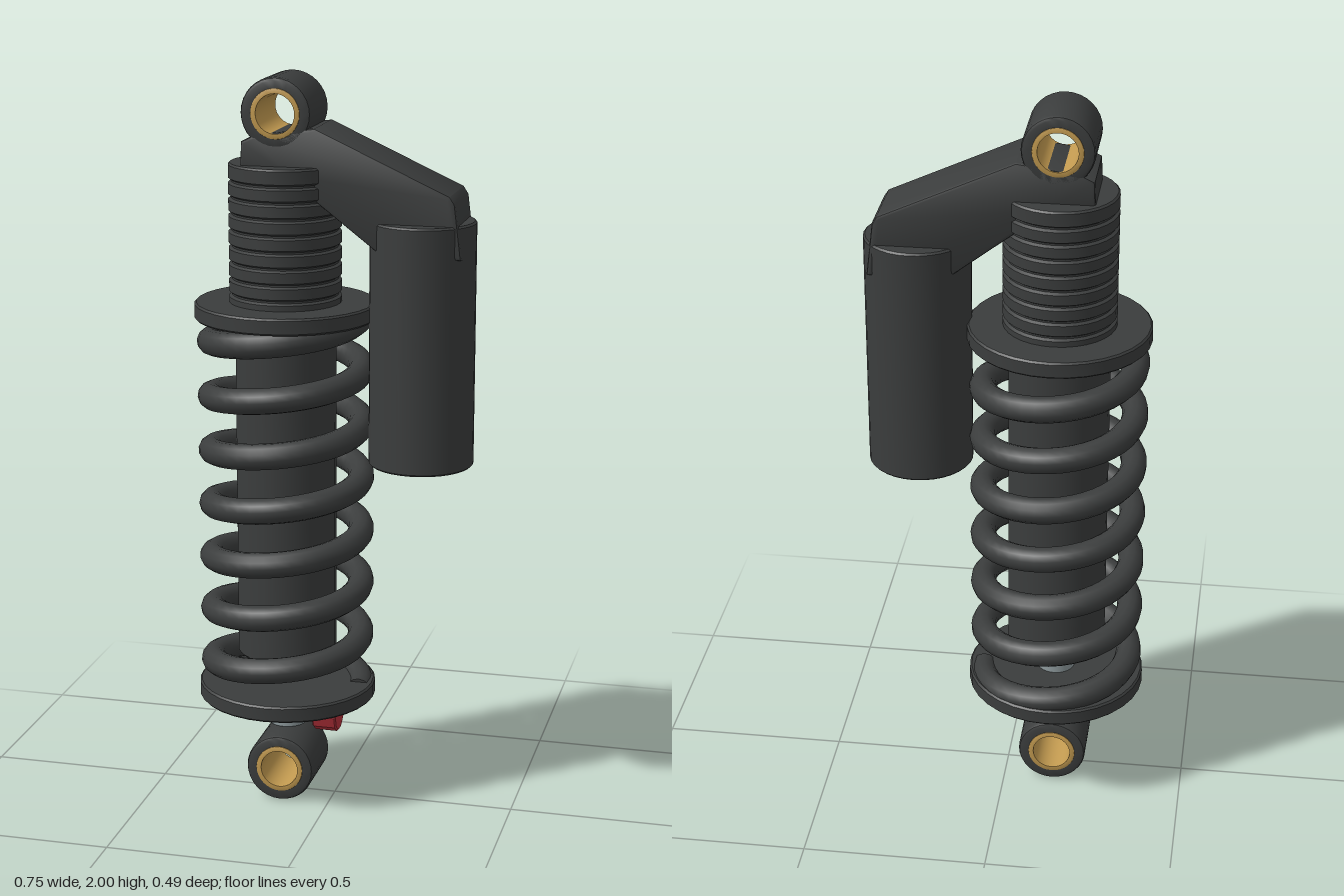
import * as THREE from 'three';
import { toCreasedNormals } from 'three/addons/utils/BufferGeometryUtils.js';

const AXIS_X = -0.135;
const material = (color) => new THREE.MeshStandardMaterial({ color });

// Surface of revolution from [radius, height] pairs, bottom to top
function lathe(points, segments = 32) {
  const geo = new THREE.LatheGeometry(points.map(([r, y]) => new THREE.Vector2(r, y)), segments);
  return toCreasedNormals(geo, 0.6);
}

// Solid cylinder with chamfered rims
function chamferedCylinder(r, y0, y1, c = 0.005, segments = 32) {
  return lathe([[0, y0], [r - c, y0], [r, y0 + c], [r, y1 - c], [r - c, y1], [0, y1]], segments);
}

// Closed ring centred on its own axis, turned to run along z
function ring(inner, outer, half, c) {
  return lathe([
    [inner, -half], [outer - c, -half], [outer - c * 0.3, -half + c * 0.3], [outer, -half + c],
    [outer, half - c], [outer - c * 0.3, half - c * 0.3], [outer - c, half], [inner, half], [inner, -half],
  ]).rotateX(Math.PI / 2);
}

// Coil climbing around the damper axis
class Helix extends THREE.Curve {
  constructor(radius, y0, y1, turns) {
    super();
    Object.assign(this, { radius, y0, y1, turns });
  }
  getPoint(t, target = new THREE.Vector3()) {
    const a = t * this.turns * Math.PI * 2;
    return target.set(
      Math.cos(a) * this.radius,
      this.y0 + (this.y1 - this.y0) * t,
      -Math.sin(a) * this.radius,
    );
  }
}

export function createModel() {
  const model = new THREE.Group();
  model.name = 'shockAbsorber';
  const black = material(0x3b3d3d);
  const steel = material(0x8f9b9e);
  const brass = material(0xc29a50);
  const red = material(0xb8323c);

  function add(name, geo, mat, x = AXIS_X, y = 0, z = 0, parent = model) {
    const mesh = new THREE.Mesh(geo, mat);
    mesh.name = name;
    mesh.position.set(x, y, z);
    parent.add(mesh);
    return mesh;
  }

  // Mounting eyes with brass bushings
  for (const [name, y] of [['upper', 1.906], ['lower', 0.094]]) {
    const eye = new THREE.Group();
    eye.name = name + 'Eye';
    add(name + 'EyeHousing', ring(0.064, 0.094, 0.095, 0.01), black, AXIS_X, y, 0, eye);
    add(name + 'Bushing', ring(0.052, 0.066, 0.097, 0.003), brass, AXIS_X, y, 0, eye);
    model.add(eye);
  }

  // Damper rod, body and spring plates
  add('rod', chamferedCylinder(0.052, 0.2, 0.6, 0.003), steel);
  add('damperBody', chamferedCylinder(0.135, 0.415, 1.42), black);
  add('lowerSpringPlate', chamferedCylinder(0.243, 0.29, 0.335), black);
  add('upperSpringPlate', chamferedCylinder(0.243, 1.355, 1.4), black);

  // Threaded collar with shallow grooves
  const thread = [[0, 1.39], [0.15, 1.39]];
  for (let i = 0; i < 8; i++) {
    const y = 1.415 + i * 0.043;
    thread.push([0.15, y], [0.142, y + 0.005], [0.142, y + 0.01], [0.15, y + 0.015]);
  }
  thread.push([0.15, 1.765], [0.145, 1.77], [0, 1.77]);
  add('threadedCollar', lathe(thread), black);

  // Coil spring with closed ends
  const helix = new Helix(0.203, 0.31, 1.36, 7);
  const spring = new THREE.Group();
  spring.name = 'spring';
  add('coil', new THREE.TubeGeometry(helix, 280, 0.035, 12), black, AXIS_X, 0, 0, spring);
  for (const t of [0, 1]) {
    const p = helix.getPoint(t);
    const outward = helix.getTangent(t).multiplyScalar(t ? 1 : -1);
    const cap = add('coilEnd', new THREE.CircleGeometry(0.035, 12), black, AXIS_X + p.x, p.y, p.z, spring);
    cap.quaternion.setFromUnitVectors(new THREE.Vector3(0, 0, 1), outward);
  }
  model.add(spring);

  // Bridge from the upper eye to the reservoir
  const outline = [
    [-0.232, 1.75], [-0.228, 1.832], [-0.19, 1.85], [-0.03, 1.872], [0.325, 1.71],
    [0.338, 1.69], [0.356, 1.545], [0.335, 1.545], [0.325, 1.56], [0.13, 1.56], [-0.02, 1.675], [-0.1, 1.74],
  ].map(([x, y]) => new THREE.Vector2(x, y));
  const bridge = new THREE.ExtrudeGeometry(new THREE.Shape(outline), {
    depth: 0.174, bevelEnabled: true, bevelSize: 0.008, bevelThickness: 0.008, bevelOffset: -0.008, bevelSegments: 2,
  });
  add('bridge', toCreasedNormals(bridge, 0.6), black, 0, 0, -0.087);

  // Reservoir
  add('reservoir', chamferedCylinder(0.14, 0.975, 1.632), black, 0.237);

  // Rebound adjuster knob, lying along x
  const knob = chamferedCylinder(0.053, -0.034, 0.034, 0.004, 10).rotateZ(Math.PI / 2);
  add('adjusterKnob', knob, red, -0.02, 0.24);

  return model;
}
